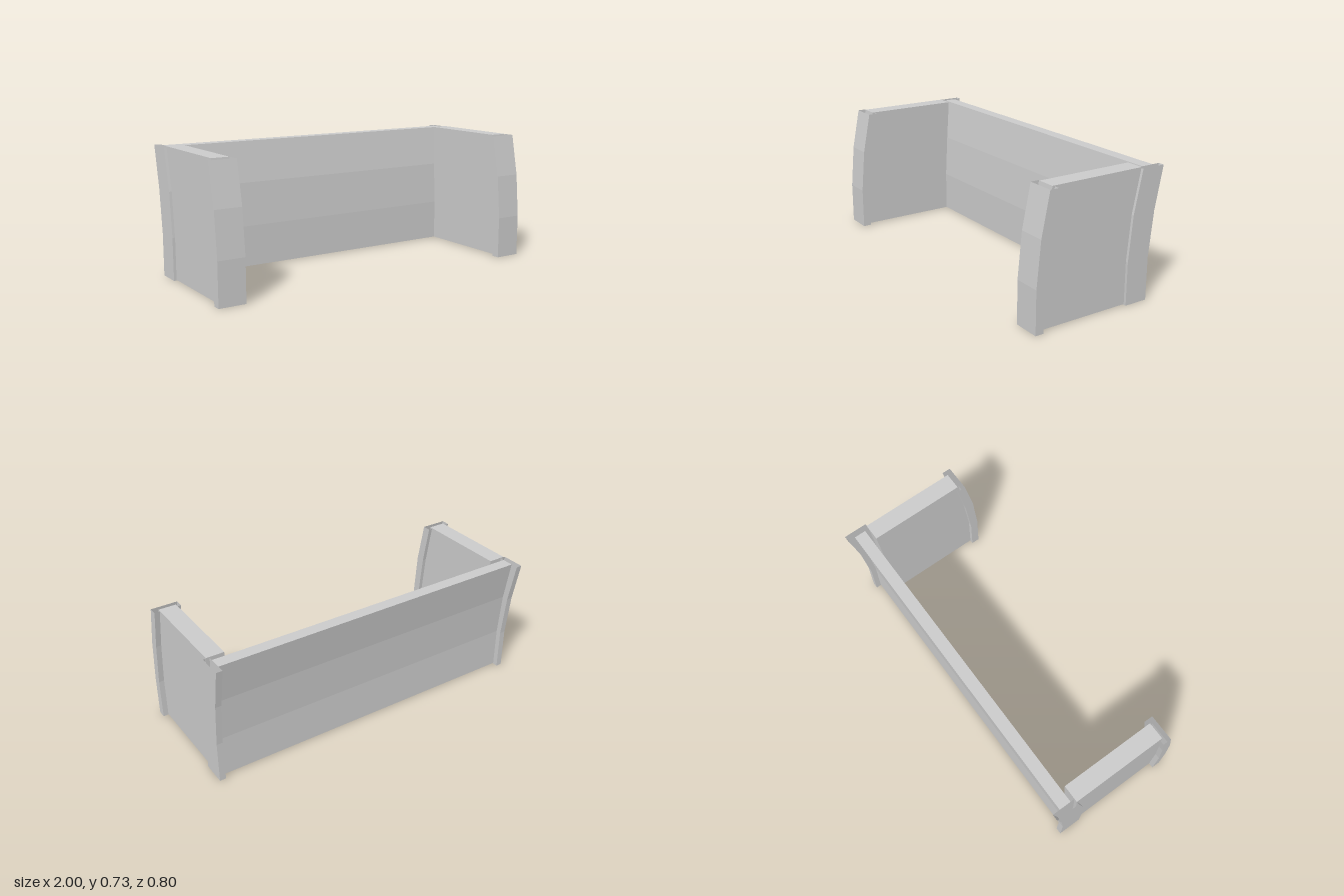
import * as THREE from 'three';

const solid = new THREE.MeshStandardMaterial({ color: 0xcccccc, flatShading: true });
const hollow = new THREE.MeshStandardMaterial({ color: 0xcccccc, flatShading: true, side: THREE.DoubleSide });

// A box with three height segments, bent so each row follows [y, zBack, zFront].
function bentBox(name, x0, x1, rows, open = false) {
  const geo = new THREE.BoxGeometry(1, 3, 1, 1, 3, 1);
  const pos = geo.attributes.position;
  for (let i = 0; i < pos.count; i++) {
    const [y, back, front] = rows[Math.round(pos.getY(i) + 1.5)];
    pos.setXYZ(i, pos.getX(i) < 0 ? x0 : x1, y, pos.getZ(i) < 0 ? back : front);
  }
  if (open) {
    // Drop the top and bottom faces, leaving a sleeve.
    const index = Array.from(geo.index.array);
    const kept = geo.groups
      .filter((g) => g.materialIndex !== 2 && g.materialIndex !== 3)
      .flatMap((g) => index.slice(g.start, g.start + g.count));
    geo.setIndex(kept);
  }
  geo.clearGroups();
  geo.computeVertexNormals();
  const mesh = new THREE.Mesh(geo, open ? hollow : solid);
  mesh.name = name;
  return mesh;
}

export function createModel() {
  const model = new THREE.Group();
  model.name = 'curvedScreen';

  const frontTrimRows = [[0, 0.352, 0.4], [0.24, 0.352, 0.4], [0.49, 0.324, 0.377], [0.725, 0.28, 0.33]];
  const backTrimRows = [[0, -0.327, -0.19], [0.24, -0.327, -0.19], [0.49, -0.353, -0.213], [0.725, -0.4, -0.262]];
  const sideRows = [[0.004, -0.235, 0.354], [0.24, -0.235, 0.354], [0.49, -0.248, 0.324], [0.73, -0.264, 0.295]];
  const backRows = [[0.004, -0.296, -0.235], [0.24, -0.296, -0.235], [0.49, -0.316, -0.252], [0.725, -0.357, -0.288]];

  // Long back panel
  model.add(bentBox('backPanel', -0.95, 0.95, backRows));

  // Side wings with their hollow edge trims
  for (const [side, s] of [['left', 1], ['right', -1]]) {
    const add = (part, inner, outer, rows, open) =>
      model.add(bentBox(side + part, Math.min(s * inner, s * outer), Math.max(s * inner, s * outer), rows, open));
    add('SidePanel', 0.87, 0.97, sideRows, false);
    add('FrontTrim', 0.847, 1, frontTrimRows, true);
    add('BackTrim', 0.95, 0.985, backTrimRows, true);
  }
  return model;
}
